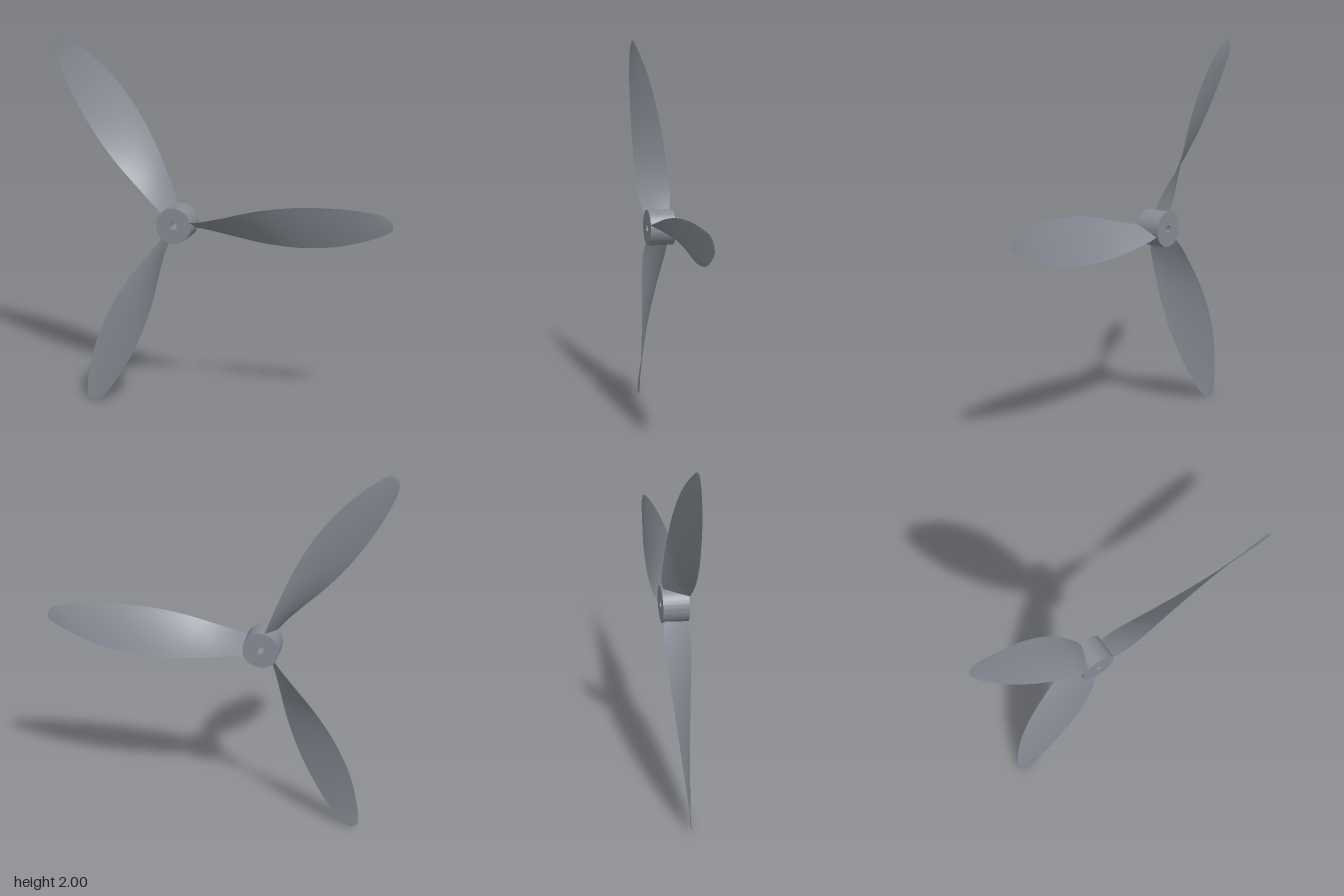
import * as THREE from 'three';
import { toCreasedNormals } from 'three/addons/utils/BufferGeometryUtils.js';

const HUB = { x: -0.247, y: 1.041, radius: 0.095, bore: 0.02, back: -0.075, front: 0.06 };
const THICKNESS = 0.004;
const COLOR = 0x868a93;

const vec = (p) => new THREE.Vector3(...p);

// Blade edges along +x from the hub axis: [radius, sideways, axial]
const leading = new THREE.CatmullRomCurve3([
  [0.07, 0.022, 0.058], [0.15, 0.037, 0.072], [0.25, 0.062, 0.073], [0.45, 0.115, 0.061],
  [0.65, 0.146, 0.046], [0.85, 0.154, 0.031], [1.0, 0.145, 0.018], [1.09, 0.13, 0.008],
  [1.13, 0.11, 0.004], [1.145, 0.09, 0.002],
].map(vec));
const trailing = new THREE.CatmullRomCurve3([
  [0.07, -0.028, -0.062], [0.15, -0.042, -0.076], [0.25, -0.058, -0.076], [0.45, -0.085, -0.066],
  [0.65, -0.09, -0.053], [0.85, -0.064, -0.036], [1.0, -0.018, -0.019], [1.09, 0.02, -0.008],
  [1.13, 0.042, -0.004], [1.146, 0.06, -0.001],
].map(vec));

// One face of the blade: a grid stretched between the edges and bulged to a thin lens
function bladeFace(side) {
  const geo = new THREE.PlaneGeometry(1, 1, 48, 10);
  const pos = geo.attributes.position;
  for (let i = 0; i < pos.count; i++) {
    const u = pos.getX(i) + 0.5;
    const v = 0.5 + side * pos.getY(i);
    const a = trailing.getPoint(u);
    const b = leading.getPoint(u);
    const chord = b.clone().sub(a);
    const normal = new THREE.Vector3(0, -chord.z, chord.y).normalize();
    const bulge = side * THICKNESS * Math.sin(Math.PI * v) * (1 - 0.8 * u);
    const p = a.lerp(b, v).addScaledVector(normal, bulge);
    pos.setXYZ(i, p.x, p.y, p.z);
  }
  geo.computeVertexNormals();
  return geo;
}

export function createModel() {
  const group = new THREE.Group();
  const material = new THREE.MeshStandardMaterial({ color: COLOR });
  const bladeMaterial = new THREE.MeshStandardMaterial({ color: COLOR, side: THREE.DoubleSide });

  // Hub with a shaft bore right through it
  const shape = new THREE.Shape().absarc(0, 0, HUB.radius, 0, Math.PI * 2);
  shape.holes.push(new THREE.Path().absarc(0, 0, HUB.bore, 0, Math.PI * 2, true));
  const hubGeo = new THREE.ExtrudeGeometry(shape, {
    depth: HUB.front - HUB.back, bevelEnabled: false, curveSegments: 40,
  });
  const hub = new THREE.Mesh(toCreasedNormals(hubGeo, 0.6), material);
  hub.name = 'hub';
  hub.position.set(HUB.x, HUB.y, HUB.back);
  group.add(hub);

  // Three twisted blades around the hub
  const faces = { frontFace: bladeFace(1), backFace: bladeFace(-1) };
  for (let i = 0; i < 3; i++) {
    const blade = new THREE.Group();
    blade.name = `blade${i + 1}`;
    for (const [name, geo] of Object.entries(faces)) {
      const mesh = new THREE.Mesh(geo, bladeMaterial);
      mesh.name = name;
      blade.add(mesh);
    }
    blade.position.set(HUB.x, HUB.y, 0);
    blade.rotation.z = (i * Math.PI * 2) / 3;
    group.add(blade);
  }
  return group;
}
